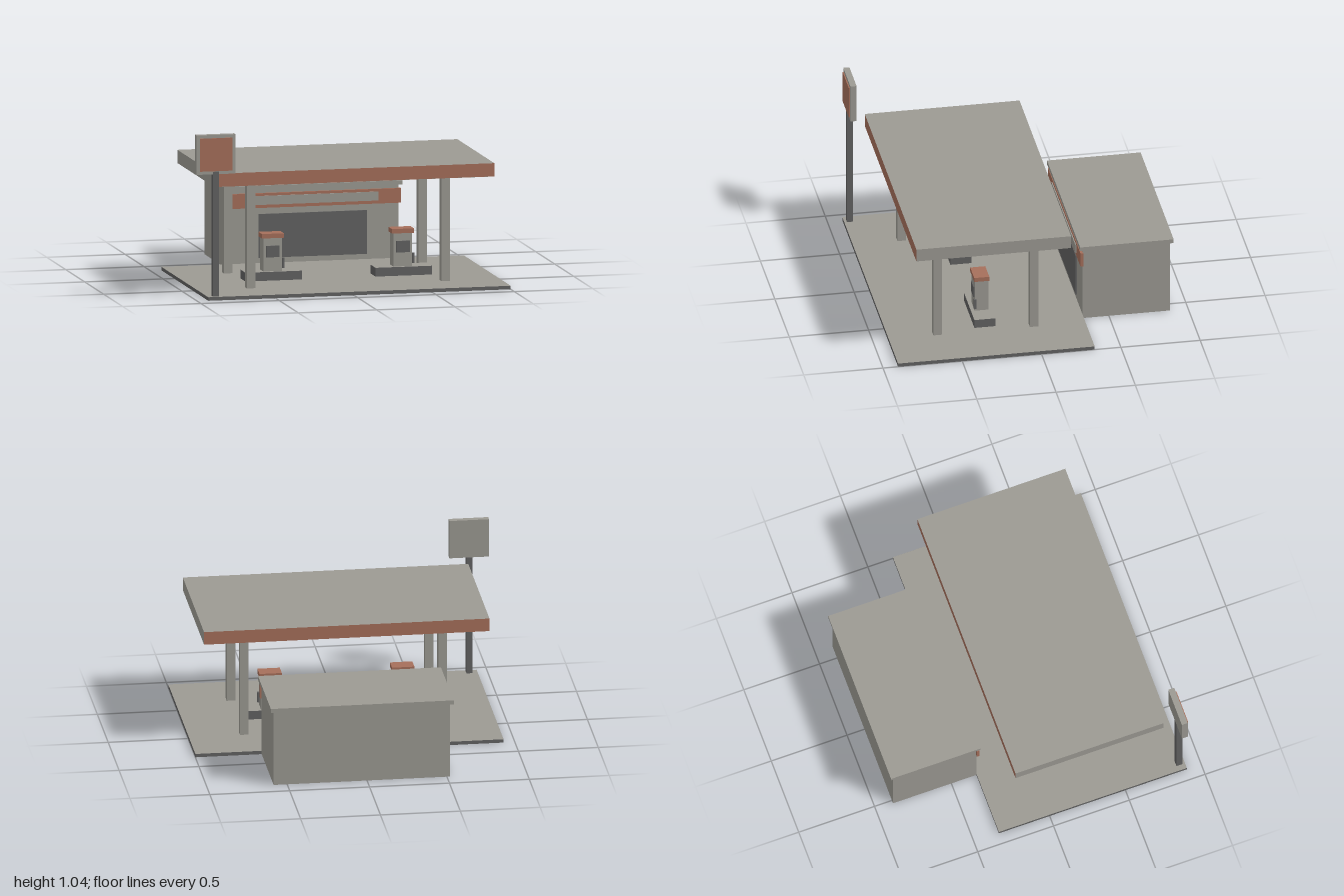
import * as THREE from 'three';

const paint = (name, color) => {
  const m = new THREE.MeshStandardMaterial({ color });
  m.name = name;
  return m;
};

export function createModel() {
  const light = paint('light concrete', 0x9c9a93);
  const dark = paint('dark grey', 0x626262);
  const rust = paint('rust orange', 0xa66f5b);

  // Face order: +x, -x, +y, -y, +z, -z
  const lightTop = [dark, dark, light, dark, dark, dark];
  const darkBase = [light, light, light, dark, light, light];
  const rustEnds = [light, light, light, light, rust, rust];

  const root = new THREE.Group();
  root.name = 'fuelStation';

  const group = (name, x = 0, z = 0) => {
    const g = new THREE.Group();
    g.name = name;
    g.position.set(x, 0, z);
    root.add(g);
    return g;
  };

  // Box given by its limits along each axis
  const box = (parent, name, material, [x0, x1], [y0, y1], [z0, z1]) => {
    const mesh = new THREE.Mesh(new THREE.BoxGeometry(x1 - x0, y1 - y0, z1 - z0), material);
    mesh.position.set((x0 + x1) / 2, (y0 + y1) / 2, (z0 + z1) / 2);
    mesh.name = name;
    parent.add(mesh);
    return mesh;
  };

  // Forecourt slab
  box(root, 'forecourt', lightTop, [-0.93, 1], [0, 0.022], [-0.335, 0.905]);

  // Shop: walls, roof slab, window, fascia and its blank sign strip
  const shop = group('shop');
  box(shop, 'walls', darkBase, [-0.52, 0.585], [0, 0.485], [-0.885, -0.335]);
  box(shop, 'roof', light, [-0.54, 0.605], [0.485, 0.511], [-0.905, -0.315]);
  box(shop, 'window', dark, [-0.31, 0.38], [0.055, 0.33], [-0.335, -0.328]);
  box(shop, 'fascia', rust, [-0.535, 0.595], [0.37, 0.462], [-0.337, -0.319]);
  box(shop, 'signStrip', light, [-0.38, 0.45], [0.39, 0.446], [-0.319, -0.313]);

  // Canopy with inset soffit and a row of lamps
  const canopy = group('canopy');
  box(canopy, 'canopyRoof', rustEnds, [-0.86, 0.927], [0.692, 0.775], [-0.2, 0.776]);
  box(canopy, 'soffit', light, [-0.835, 0.902], [0.686, 0.692], [-0.17, 0.745]);
  for (let i = 0; i < 4; i++) {
    const x = -0.59 + i * 0.4133;
    box(canopy, 'lamp', light, [x - 0.11, x + 0.11], [0.68, 0.686], [0.256, 0.32]);
  }

  // Canopy posts
  for (const x of [-0.588, 0.653])
    for (const z of [-0.012, 0.597])
      box(canopy, 'post', light, [x - 0.027, x + 0.027], [0.022, 0.688], [z - 0.027, z + 0.027]);

  // Pump islands
  for (const x of [-0.38, 0.45]) {
    const pump = group('pumpIsland', x, 0.29);
    box(pump, 'island', lightTop, [-0.18, 0.18], [0.022, 0.077], [-0.066, 0.066]);
    box(pump, 'pumpBody', light, [-0.06, 0.06], [0.077, 0.285], [-0.045, 0.042]);
    box(pump, 'pumpCap', rust, [-0.07, 0.07], [0.285, 0.313], [-0.048, 0.047]);
    box(pump, 'pumpScreen', dark, [-0.043, 0.043], [0.165, 0.237], [0.042, 0.048]);
    box(pump, 'nozzle', dark, [0.06, 0.072], [0.095, 0.16], [0.033, 0.049]);
  }

  // Roadside sign
  const sign = group('roadSign');
  box(sign, 'signPole', dark, [-0.896, -0.859], [0.022, 0.806], [0.849, 0.888]);
  box(sign, 'signBoard', light, [-1, -0.752], [0.79, 1.037], [0.847, 0.886]);
  box(sign, 'signPanel', rust, [-0.98, -0.772], [0.81, 1.017], [0.886, 0.893]);

  return root;
}
